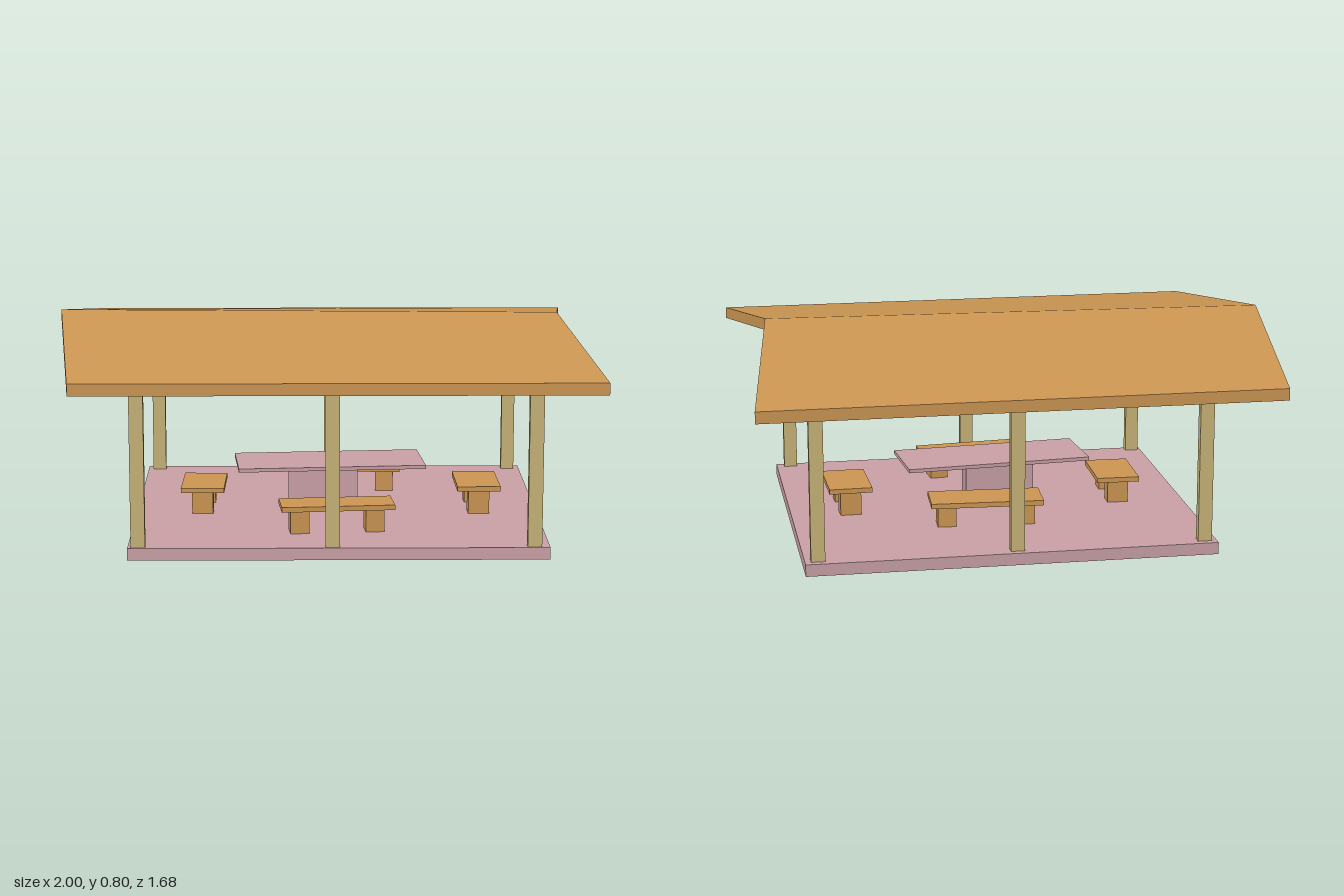
import * as THREE from 'three';

const mat = (name, color) => {
  const m = new THREE.MeshStandardMaterial({ color });
  m.name = name;
  return m;
};

// Box standing with its underside at y
function box(name, material, w, h, d, x, y, z) {
  const mesh = new THREE.Mesh(new THREE.BoxGeometry(w, h, d), material);
  mesh.name = name;
  mesh.position.set(x, y + h / 2, z);
  return mesh;
}

// Bent roof slab: a left and a right outline of three points, given a thickness
function roofGeometry(left, right, thickness) {
  const pos = [];
  const low = (p) => [p[0], p[1] - thickness, p[2]];
  const quad = (a, b, c, d) => pos.push(...a, ...b, ...c, ...a, ...c, ...d);
  for (let i = 0; i < 2; i++) {
    const [l0, l1, r0, r1] = [left[i], left[i + 1], right[i], right[i + 1]];
    quad(l0, r0, r1, l1); // top
    quad(low(l0), low(l1), low(r1), low(r0)); // underside
    quad(low(l0), l0, l1, low(l1)); // gable edges
    quad(low(r0), low(r1), r1, r0);
  }
  quad(low(left[0]), low(right[0]), right[0], left[0]); // front eave
  quad(low(right[2]), low(left[2]), left[2], right[2]); // back eave
  const g = new THREE.BufferGeometry();
  g.setAttribute('position', new THREE.Float32BufferAttribute(pos, 3));
  g.computeVertexNormals();
  return g;
}

export function createModel() {
  const model = new THREE.Group();
  model.name = 'picnicShelter';
  const wood = mat('orange wood', 0xcc9653);
  const postWood = mat('pale post wood', 0xc8b478);
  const stone = mat('pink stone', 0xcaa1a7);

  // Floor slab
  model.add(box('floor', stone, 1.53, 0.045, 1.32, 0.055, 0, 0.025));

  // Six posts
  for (const [z, shift] of [[0.66, -0.004], [-0.593, 0.004]]) {
    for (const x of [-0.668, 0.036, 0.768]) {
      model.add(box('post', postWood, 0.052, 0.62, 0.032, x + shift, 0.045, z));
    }
  }

  // Roof with a slightly skewed ridge
  const roof = new THREE.Mesh(roofGeometry(
    [[-0.9, 0.68, 0.84], [-1, 0.803, -0.03], [-0.9, 0.677, -0.845]],
    [[1, 0.68, 0.84], [0.895, 0.803, 0.05], [1, 0.677, -0.845]],
    0.044), wood);
  roof.name = 'roof';
  model.add(roof);

  // Table
  model.add(box('tableBase', stone, 0.265, 0.172, 0.105, 0.003, 0.045, 0.052));
  const tableTop = box('tableTop', stone, 0.715, 0.014, 0.28, 0.028, 0.216, 0.05);
  tableTop.rotation.y = 0.08;
  model.add(tableTop);

  // Benches: a plank on two block legs
  const bench = (name, x, z, length, depth, legAt, legWidth, height, turn) => {
    const g = new THREE.Group();
    g.name = name;
    g.add(box('plank', wood, length, 0.019, depth, 0, height - 0.019, 0));
    for (const s of [-1, 1]) {
      g.add(box('leg', wood, legWidth, height - 0.064, 0.08, s * legAt, 0.045, 0));
    }
    g.position.set(x, 0, z);
    g.rotation.y = turn;
    model.add(g);
  };
  bench('frontBench', 0.05, 0.428, 0.42, 0.145, 0.14, 0.07, 0.154, 0.09);
  bench('backBench', 0.1, -0.245, 0.425, 0.17, 0.15, 0.07, 0.15, -0.05);
  bench('leftBench', 0.595, 0.058, 0.262, 0.165, 0.09, 0.065, 0.152, Math.PI / 2 + 0.02);
  bench('rightBench', -0.455, 0.05, 0.26, 0.165, 0.09, 0.065, 0.146, Math.PI / 2 - 0.02);
  return model;
}
